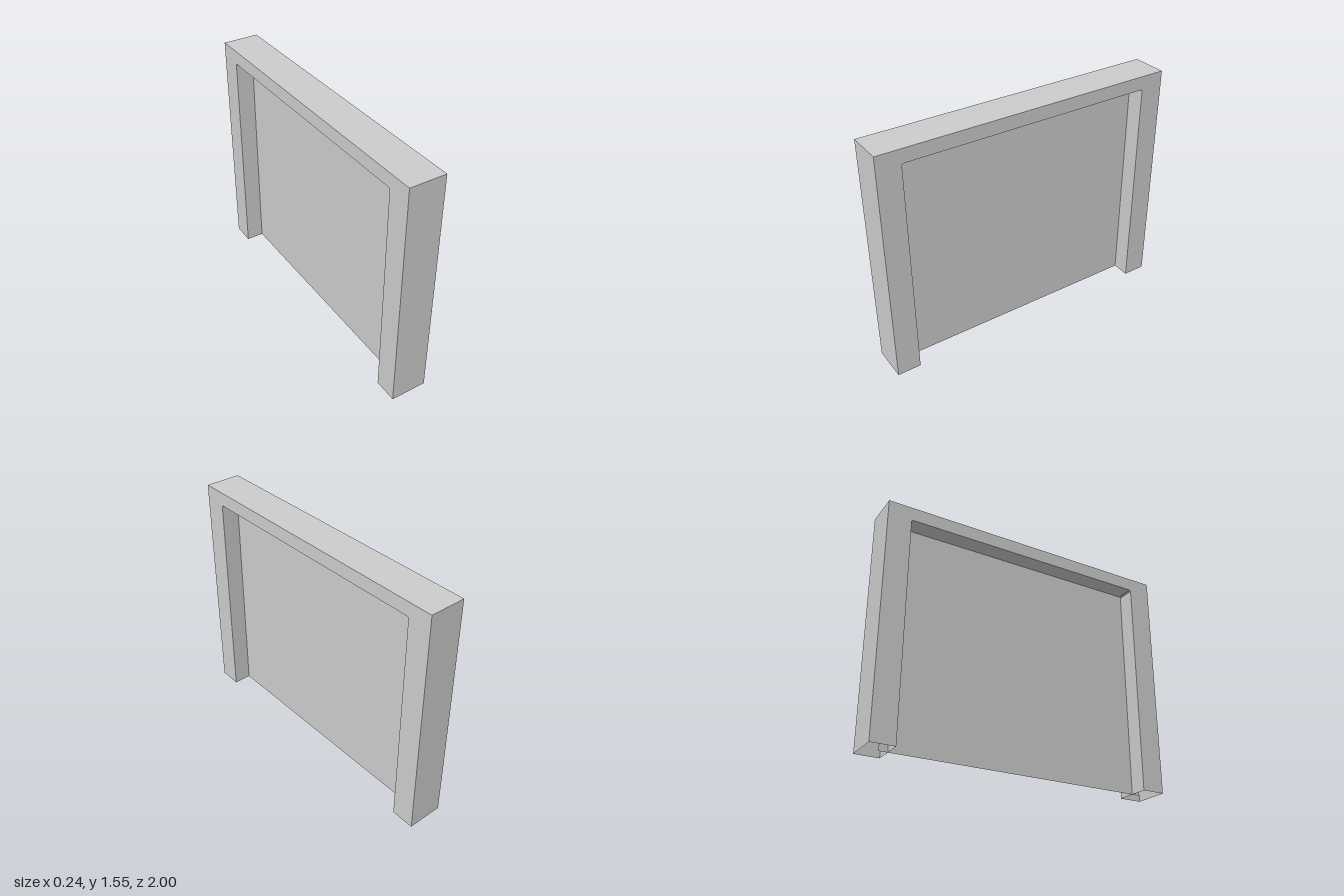
import * as THREE from 'three';

const W = 0.119; // half depth of the frame along x
const material = new THREE.MeshStandardMaterial({
  color: 0xcccccc, flatShading: true, side: THREE.DoubleSide,
});

// Outlines as [z, y] points, both running up, across and down
const outer = [[-1, 0], [-1, 1.55], [1, 1.55], [1, 0]];
const inner = [[-0.845, 0], [-0.845, 1.452], [-0.837, 1.46], [0.837, 1.46], [0.845, 1.452], [0.845, 0]];

// Strip of quads spanning the frame depth along an outline, open at the bottom
function wall(path) {
  const positions = [];
  for (let i = 0; i < path.length - 1; i++) {
    const [za, ya] = path[i];
    const [zb, yb] = path[i + 1];
    positions.push(W, ya, za, -W, ya, za, -W, yb, zb);
    positions.push(W, ya, za, -W, yb, zb, W, yb, zb);
  }
  const geometry = new THREE.BufferGeometry();
  geometry.setAttribute('position', new THREE.Float32BufferAttribute(positions, 3));
  geometry.computeVertexNormals();
  return geometry;
}

export function createModel() {
  const model = new THREE.Group();
  model.name = 'doorway';
  const add = (name, geometry, parent) => {
    const mesh = new THREE.Mesh(geometry, material);
    mesh.name = name;
    parent.add(mesh);
    return mesh;
  };

  // Hollow frame: two posts and a lintel, open underneath
  const frame = new THREE.Group();
  frame.name = 'frame';
  model.add(frame);
  add('frameOuterWall', wall(outer), frame);
  add('frameInnerWall', wall([...inner].reverse()), frame);

  // U-shaped faces on both sides
  const outline = [...outer, ...[...inner].reverse()].map(([z, y]) => new THREE.Vector2(z, y));
  for (const s of [1, -1]) {
    const face = add(s > 0 ? 'frameLeftFace' : 'frameRightFace',
      new THREE.ShapeGeometry(new THREE.Shape(outline)), frame);
    face.rotation.y = s * Math.PI / 2;
    face.position.x = s * W;
  }

  // Thin door panel, tucked into the frame
  const panel = add('doorPanel', new THREE.PlaneGeometry(1.8, 1.5), model);
  panel.rotation.y = Math.PI / 2;
  panel.position.y = 0.75;

  return model;
}
